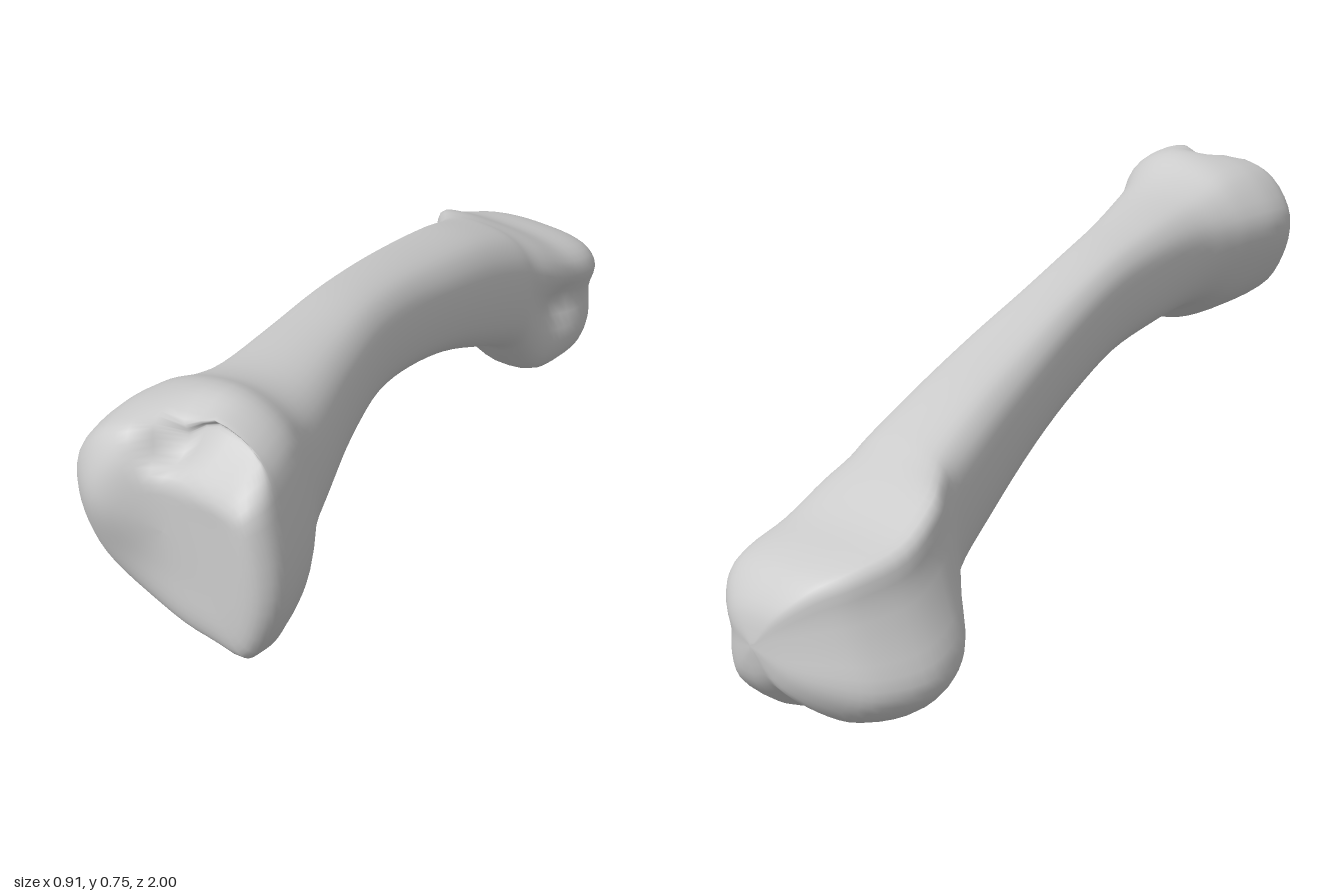
import * as THREE from 'three';

// Unit outlines, counter-clockwise from +x, 16 points each
const upperEnd = [[1, -.1], [.92, .41], [.79, .73], [.5, .93], [.12, 1], [-.38, .91], [-.71, .75], [-.96, .43],
  [-1, .14], [-.92, -.18], [-.75, -.5], [-.46, -.73], [-.04, -.93], [.3, -1], [.75, -.98], [.96, -.55]];
const lowerEnd = [[.9, .05], [1, .5], [.85, .8], [.5, .95], [0, 1], [-.4, 1], [-.66, .92], [-.72, .55],
  [-.85, .1], [-1, -.35], [-.93, -.65], [-.65, -.88], [-.25, -.82], [.2, -1], [.75, -.92], [.92, -.5]];
const shaft = Array.from({ length: 16 }, (_, i) => {
  const a = i * Math.PI / 8, c = Math.cos(a), s = Math.sin(a);
  const p = c < 0 && s > 0 ? .7 : .8; // fuller towards the upper right-hand ridge
  return [Math.sign(c) * Math.abs(c) ** p, Math.sign(s) * Math.abs(s) ** p];
});

// Sections along the bone: z, xMin, xMax, yMin, yMax, shape (-1 lower end, 0 shaft, 1 upper end)
const sections = [
  [-1, -.21, -.19, .17, .19, -1],
  [-.985, -.28, -.12, .1, .25, -1],
  [-.94, -.36, -.06, .045, .305, -1],
  [-.88, -.42, -.03, .012, .335, -1],
  [-.78, -.455, -.02, .004, .365, -1],
  [-.68, -.43, -.02, .025, .415, -.95],
  [-.61, -.36, -.02, .085, .445, -.5],
  [-.55, -.31, -.01, .145, .47, -.1],
  [-.4, -.26, .01, .22, .52, 0],
  [-.2, -.2, .045, .31, .57, 0],
  [0, -.14, .08, .37, .615, 0],
  [.2, -.085, .135, .41, .65, 0],
  [.4, -.04, .215, .413, .67, .1],
  [.58, -.01, .3, .4, .69, .4],
  [.68, -.01, .345, .375, .715, .7],
  [.76, -.02, .395, .325, .752, 1],
  [.84, -.03, .43, .32, .757, 1],
  [.9, -.025, .45, .322, .75, 1],
  [.935, -.005, .44, .33, .735, 1],
  [.95, .04, .405, .37, .69, 1],
  [.95, .12, .31, .45, .62, 1],
  [.95, .209, .211, .539, .541, 1],
];

const spline = (a, b, c, d, t) =>
  b + .5 * t * (c - a + t * (2 * a - 5 * b + 4 * c - d + t * (3 * (b - c) + d - a)));

function outline(shape) {
  const end = shape < 0 ? lowerEnd : upperEnd, w = Math.min(1, Math.abs(shape));
  return shaft.map((p, i) => p.map((v, k) => v + (end[i][k] - v) * w));
}

// Joint details: rounded knob, sloped notch and small side hollow
function sculpt(p) {
  const bell = (v, c, r) => Math.exp(-(((v - c) / r) ** 2));
  const ramp = THREE.MathUtils.smoothstep;
  const { x, y, z } = p;
  const front = ramp(z, .86, .94);
  p.z += front * .05 * bell(x, .09, .085) * bell(y, .58, .13);
  p.z += front * .012 * bell(x, .4, .05);
  p.z -= front * .07 * ramp(y, .63, .74) * ramp(x, .14, .22);
  p.y -= .04 * ramp(z, .79, .92) * bell(x, .21, .035) * ramp(y, .64, .72);
  if (x > -.15) p.x -= .03 * bell(z, -.76, .07) * bell(y, .2, .06);
  return p;
}

function boneGeometry(stepsZ = 4, stepsRing = 3) {
  const pos = [], index = [], last = sections.length - 1;
  const n = 16 * stepsRing, rows = last * stepsZ;
  const at = i => sections[Math.min(last, Math.max(0, i))];
  for (let r = 0; r <= rows; r++) {
    const i = Math.floor(r / stepsZ), t = r / stepsZ - i;
    const s = at(i).map((v, k) => spline(at(i - 1)[k], v, at(i + 1)[k], at(i + 2)[k], t));
    const ring = outline(s[5]);
    for (let j = 0; j < n; j++) {
      const q = Math.floor(j / stepsRing), u = j / stepsRing - q;
      const [a, b] = [0, 1].map(k =>
        spline(ring[(q + 15) % 16][k], ring[q][k], ring[(q + 1) % 16][k], ring[(q + 2) % 16][k], u));
      const p = sculpt(new THREE.Vector3(
        (s[1] + s[2]) / 2 + a * (s[2] - s[1]) / 2,
        (s[3] + s[4]) / 2 + b * (s[4] - s[3]) / 2, s[0]));
      pos.push(p.x, Math.max(0, p.y), p.z);
      if (r < rows) {
        const k = r * n + j, m = r * n + (j + 1) % n;
        index.push(k, m, m + n, k, m + n, k + n);
      }
    }
  }
  // Close both tips
  for (let j = 1; j < n - 1; j++) {
    index.push(0, j + 1, j, rows * n, rows * n + j, rows * n + j + 1);
  }
  const g = new THREE.BufferGeometry();
  g.setAttribute('position', new THREE.Float32BufferAttribute(pos, 3));
  g.setIndex(index);
  g.computeVertexNormals();
  return g;
}

export function createModel() {
  const group = new THREE.Group();
  group.name = 'legBone';
  const bone = new THREE.Mesh(boneGeometry(), new THREE.MeshStandardMaterial({ color: 0xcccccc }));
  bone.name = 'bone';
  group.add(bone);
  return group;
}
